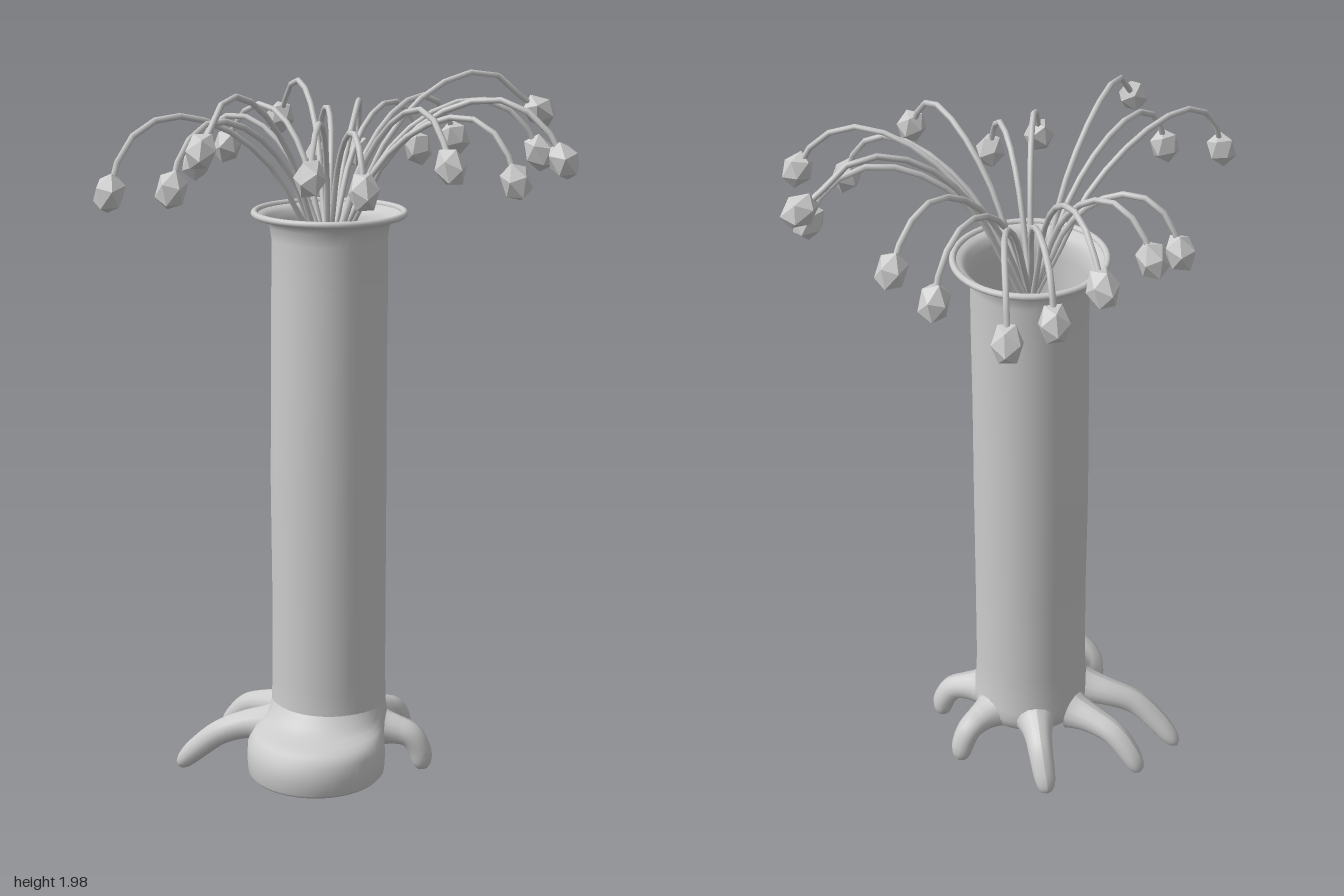
import * as THREE from 'three';

const grey = new THREE.MeshStandardMaterial({ color: 0xcccccc });
const faceted = new THREE.MeshStandardMaterial({ color: 0xcccccc, flatShading: true });
const v3 = (x, y, z) => new THREE.Vector3(x, y, z);

function addMesh(parent, name, geometry, material) {
  const mesh = new THREE.Mesh(geometry, material);
  mesh.name = name;
  parent.add(mesh);
  return mesh;
}

// Skin over circular rings [y, centreX, centreZ, radius, tilt]; tilt lifts the rear of a ring
function loft(rings, sides) {
  const pos = [], idx = [];
  rings.forEach(([y, cx, cz, r, tilt = 0], i) => {
    for (let j = 0; j < sides; j++) {
      const a = (j / sides) * Math.PI * 2;
      const dz = Math.sin(a) * r;
      pos.push(cx + Math.cos(a) * r, y + tilt * Math.max(0, -dz), cz + dz);
      if (i === rings.length - 1) continue;
      const p = i * sides + j, q = i * sides + ((j + 1) % sides);
      idx.push(p, p + sides, q, q, p + sides, q + sides);
    }
  });
  const g = new THREE.BufferGeometry();
  g.setAttribute('position', new THREE.Float32BufferAttribute(pos, 3));
  g.setIndex(idx);
  g.computeVertexNormals();
  return g;
}

// Tube whose thickness follows a rule along its length
function taperedTube(curve, segments, sides, radiusAt) {
  const g = new THREE.TubeGeometry(curve, segments, 1, sides);
  const p = g.attributes.position, v = v3(0, 0, 0);
  for (let i = 0; i < p.count; i++) {
    const t = Math.floor(i / (sides + 1)) / segments;
    const c = curve.getPointAt(t);
    v.fromBufferAttribute(p, i).sub(c).multiplyScalar(radiusAt(t)).add(c);
    p.setXYZ(i, v.x, v.y, v.z);
  }
  g.computeVertexNormals();
  return g;
}

export function createModel() {
  const model = new THREE.Group();
  model.name = 'tubeCreature';

  // Tall column, rounded off underneath and flared at the mouth
  addMesh(model, 'column', loft([
    [0.147, 0, 0.025, 0],
    [0.143, 0, 0.025, 0.1],
    [0.148, 0, 0.025, 0.138],
    [0.165, 0, 0.025, 0.157],
    [0.195, 0, 0.025, 0.166],
    [0.225, -0.001, 0.024, 0.164],
    [0.27, -0.002, 0.023, 0.159],
    [0.35, -0.002, 0.023, 0.157],
    [0.6, -0.002, 0.024, 0.156],
    [0.9, -0.003, 0.023, 0.157],
    [1.2, -0.002, 0.022, 0.155],
    [1.45, 0, 0.022, 0.154],
    [1.57, 0, 0.022, 0.153],
    [1.605, 0, 0.021, 0.158],
    [1.622, 0, 0.02, 0.17],
    [1.63, 0, 0.02, 0.19],
  ], 48), grey);

  // Foot pad bulging forwards, with a hollowed sole rising to the back
  addMesh(model, 'footPad', loft([
    [0.135, -0.063, 0.125, 0],
    [0.13, -0.063, 0.125, 0.08, 0.1],
    [0.112, -0.063, 0.126, 0.155, 0.2],
    [0.103, -0.063, 0.127, 0.18, 0.25],
    [0.112, -0.063, 0.127, 0.188, 0.25],
    [0.15, -0.063, 0.128, 0.19, 0.1],
    [0.19, -0.062, 0.126, 0.188],
    [0.213, -0.053, 0.115, 0.178],
    [0.225, -0.04, 0.096, 0.167],
    [0.234, -0.028, 0.073, 0.161],
    [0.25, -0.014, 0.046, 0.158],
    [0.28, -0.004, 0.026, 0.156],
  ], 48), grey);

  // Mouth rim and the inside of the throat
  addMesh(model, 'throat', loft([
    [1.636, 0, 0.02, 0.195],
    [1.632, 0, 0.02, 0.178],
    [1.622, 0, 0.02, 0.166],
    [1.6, 0, 0.021, 0.156],
    [1.56, 0, 0.022, 0.152],
    [1.4, 0, 0.022, 0.152],
  ], 48), grey);
  const rim = addMesh(model, 'rim', new THREE.TorusGeometry(0.197, 0.009, 10, 48), grey);
  rim.rotation.x = Math.PI / 2;
  rim.position.set(0, 1.636, 0.02);

  // Clinging roots curling down from the sides and back
  const roots = [
    [[-0.15, 0.195, -0.01], [-0.22, 0.18, -0.05], [-0.29, 0.15, -0.08], [-0.35, 0.09, -0.12], [-0.4, 0.02, -0.165]],
    [[-0.09, 0.195, -0.11], [-0.135, 0.188, -0.16], [-0.18, 0.168, -0.21], [-0.215, 0.12, -0.25], [-0.24, 0.06, -0.28]],
    [[0.028, 0.195, -0.125], [0.035, 0.188, -0.17], [0.042, 0.168, -0.215], [0.044, 0.12, -0.255], [0.042, 0.06, -0.285]],
    [[0.135, 0.19, -0.035], [0.175, 0.185, -0.055], [0.212, 0.172, -0.075], [0.236, 0.13, -0.085], [0.244, 0.075, -0.09]],
    [[0.135, 0.19, 0.075], [0.175, 0.185, 0.095], [0.21, 0.172, 0.112], [0.236, 0.13, 0.122], [0.244, 0.07, 0.125]],
  ];
  const rootRadius = (t) => (0.039 - 0.009 * t + 0.018 * Math.pow(1 - t, 6)) * Math.sqrt(1 - Math.pow(t, 10));
  roots.forEach((pts) => {
    const curve = new THREE.CatmullRomCurve3(pts.map((p) => v3(...p)));
    addMesh(model, 'root', taperedTube(curve, 30, 14, rootRadius), grey);
  });

  // Arching stems, each with a faceted bud at its end: [x, y, z, sideways bend]
  const buds = [
    [-0.02, 1.825, -0.49, 0.015], [0.08, 1.72, -0.44, 0.02], [0.21, 1.72, -0.495, 0.03],
    [0.335, 1.75, -0.315, -0.01], [0.41, 1.79, -0.21, 0.01], [0.585, 1.88, -0.02, 0],
    [0.545, 1.785, 0.1, -0.01], [0.52, 1.8, 0.355, -0.01], [0.39, 1.755, 0.375, -0.025],
    [0.185, 1.815, 0.49, -0.03], [-0.01, 1.75, 0.415, 0], [-0.14, 1.785, 0.4, -0.01],
    [-0.405, 1.86, 0.405, 0.03], [-0.46, 1.755, 0.3, 0.02], [-0.605, 1.745, 0.255, 0.03],
    [-0.305, 1.74, -0.24, 0.01], [-0.205, 1.775, -0.315, 0.02],
  ];
  // Stem rule: share of the way outwards, share of the height above the mouth
  const arch = [[-0.12, -0.9], [0.13, 0.03], [0.25, 0.48], [0.44, 0.84], [0.64, 1], [0.79, 0.98], [0.93, 0.78]];
  const base = v3(-0.005, 1.63, 0.025);
  buds.forEach(([x, y, z, bend]) => {
    const end = v3(x, y, z);
    const reach = Math.hypot(x - base.x, z - base.z);
    const peak = 1.89 + (y - 1.745) * 0.6 + (reach - 0.5) * 0.15 - base.y;
    const side = v3(base.z - z, 0, x - base.x).normalize();
    const pts = arch.map(([f, h]) => v3(
      THREE.MathUtils.lerp(base.x, x, f), base.y + peak * h, THREE.MathUtils.lerp(base.z, z, f),
    ).addScaledVector(side, bend * Math.sin(f * Math.PI)));
    pts.push(end);
    const curve = new THREE.CatmullRomCurve3(pts);
    const plant = new THREE.Group();
    plant.name = 'stemWithBud';
    addMesh(plant, 'stem', new THREE.TubeGeometry(curve, 14, 0.008, 6), grey);
    const bud = addMesh(plant, 'bud', new THREE.IcosahedronGeometry(0.041, 0), faceted);
    bud.scale.set(1, 1.3, 1);
    bud.position.copy(end);
    bud.quaternion.setFromUnitVectors(v3(0, 1, 0), curve.getTangentAt(1));
    model.add(plant);
  });

  return model;
}
